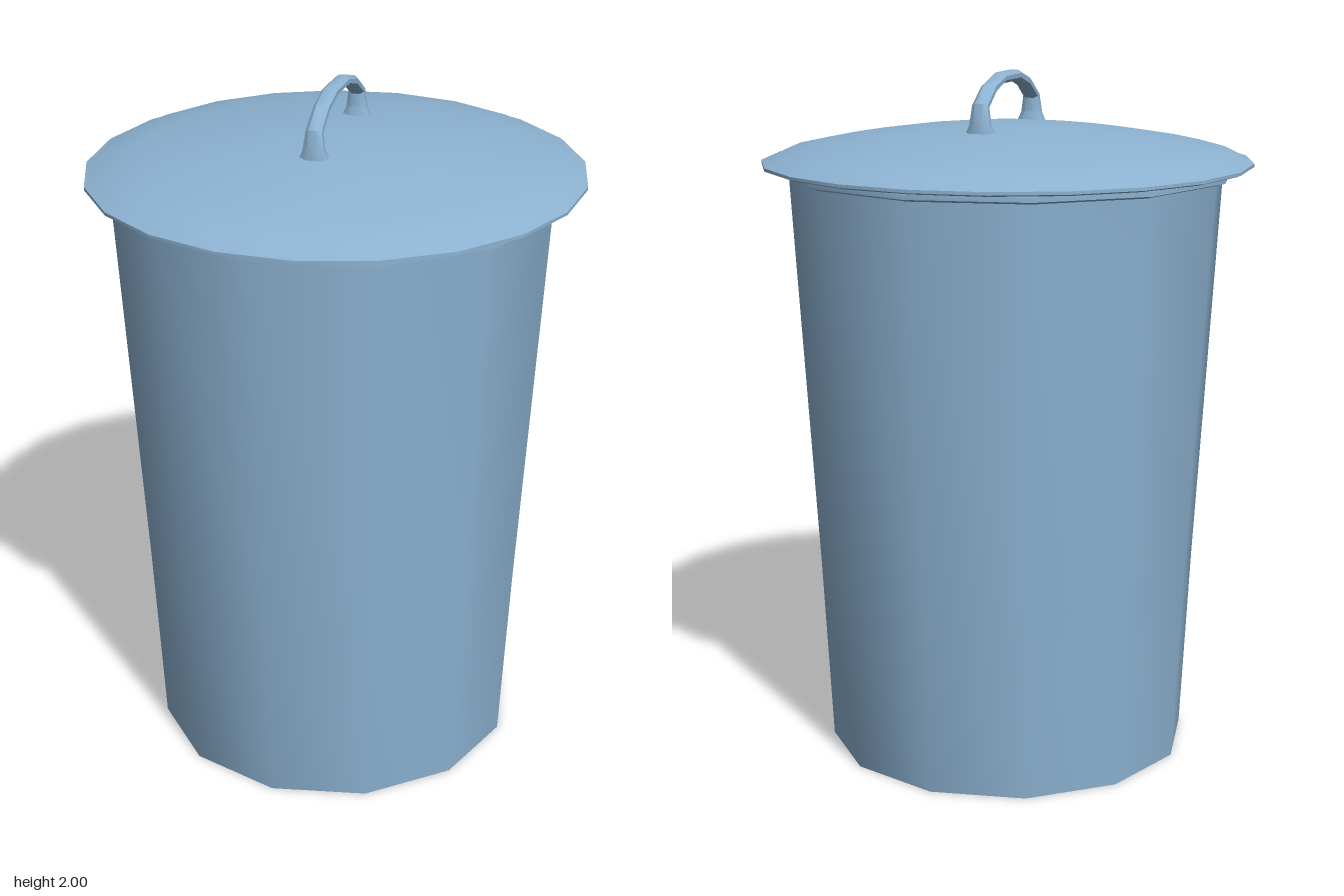
import * as THREE from 'three';
import { toCreasedNormals } from 'three/addons/utils/BufferGeometryUtils.js';

const material = new THREE.MeshStandardMaterial({ color: 0x8db3d2, side: THREE.DoubleSide });

function addPart(parent, name, geometry, crease) {
  const mesh = new THREE.Mesh(toCreasedNormals(geometry, THREE.MathUtils.degToRad(crease)), material);
  mesh.name = name;
  parent.add(mesh);
  return mesh;
}

function turned(profile, sides, startDegrees) {
  const points = profile.map(([r, y]) => new THREE.Vector2(r, y));
  return new THREE.LatheGeometry(points, sides, THREE.MathUtils.degToRad(startDegrees));
}

// Arched bar: each station gives the outer and inner edge and the half width
function handleGeometry() {
  const half = [
    // outer s, y, inner s, y, half width
    [0.225, 1.82, 0.17, 1.82, 0.048],
    [0.222, 1.86, 0.182, 1.865, 0.03],
    [0.215, 1.92, 0.182, 1.905, 0.023],
    [0.145, 1.97, 0.125, 1.943, 0.022],
    [0.06, 1.995, 0.055, 1.965, 0.022],
  ];
  const mirrored = half.map(([a, b, c, d, w]) => [-a, b, -c, d, w]);
  const stations = [...mirrored, ...half.reverse()];
  // Six-sided section: across the width (u) and from outer to inner edge (v)
  const section = [[0.5, 0], [1, 0.3], [1, 0.7], [0.5, 1], [-0.5, 1], [-1, 0.7], [-1, 0.3], [-0.5, 0]];
  const n = section.length;
  const positions = [], index = [];
  for (const [so, yo, si, yi, w] of stations)
    for (const [u, v] of section)
      positions.push(so + (si - so) * v, yo + (yi - yo) * v, u * w);
  for (let i = 0; i < stations.length - 1; i++)
    for (let j = 0; j < n; j++) {
      const a = i * n + j, b = i * n + (j + 1) % n;
      index.push(a, a + n, b, b, a + n, b + n);
    }
  const geometry = new THREE.BufferGeometry();
  geometry.setAttribute('position', new THREE.Float32BufferAttribute(positions, 3));
  geometry.setIndex(index);
  return geometry;
}

export function createModel() {
  const group = new THREE.Group();
  group.name = 'trashCan';

  // Tapered twelve-sided bin with a drain hole, rolled rim and hollow inside
  const bin = addPart(group, 'bin', turned([
    [0.03, 0], [0.532, 0], [0.56, 0.55], [0.628, 1.7],
    [0.656, 1.708], [0.656, 1.722], [0.61, 1.73],
    [0.542, 0.55], [0.514, 0.02], [0.03, 0.02], [0.03, 0],
  ], 12, 78), 40);
  bin.position.set(-0.01, 0, 0.01);

  // Shallow domed lid with a thin flared edge
  const lid = addPart(group, 'lid', turned([
    [0, 1.833], [0.33, 1.803], [0.55, 1.765], [0.64, 1.738], [0.69, 1.73],
    [0.705, 1.735], [0.705, 1.744], [0.685, 1.75], [0.64, 1.772], [0.55, 1.792],
    [0.44, 1.811], [0.33, 1.827], [0.2, 1.841], [0.1, 1.848], [0, 1.85],
  ], 21, 90), 35);
  lid.position.x = -0.004;

  // Arched handle set diagonally across the lid
  const handle = addPart(group, 'handle', handleGeometry(), 40);
  handle.rotation.y = Math.atan2(0.2, 0.16);
  handle.position.x = -0.003;

  return group;
}
